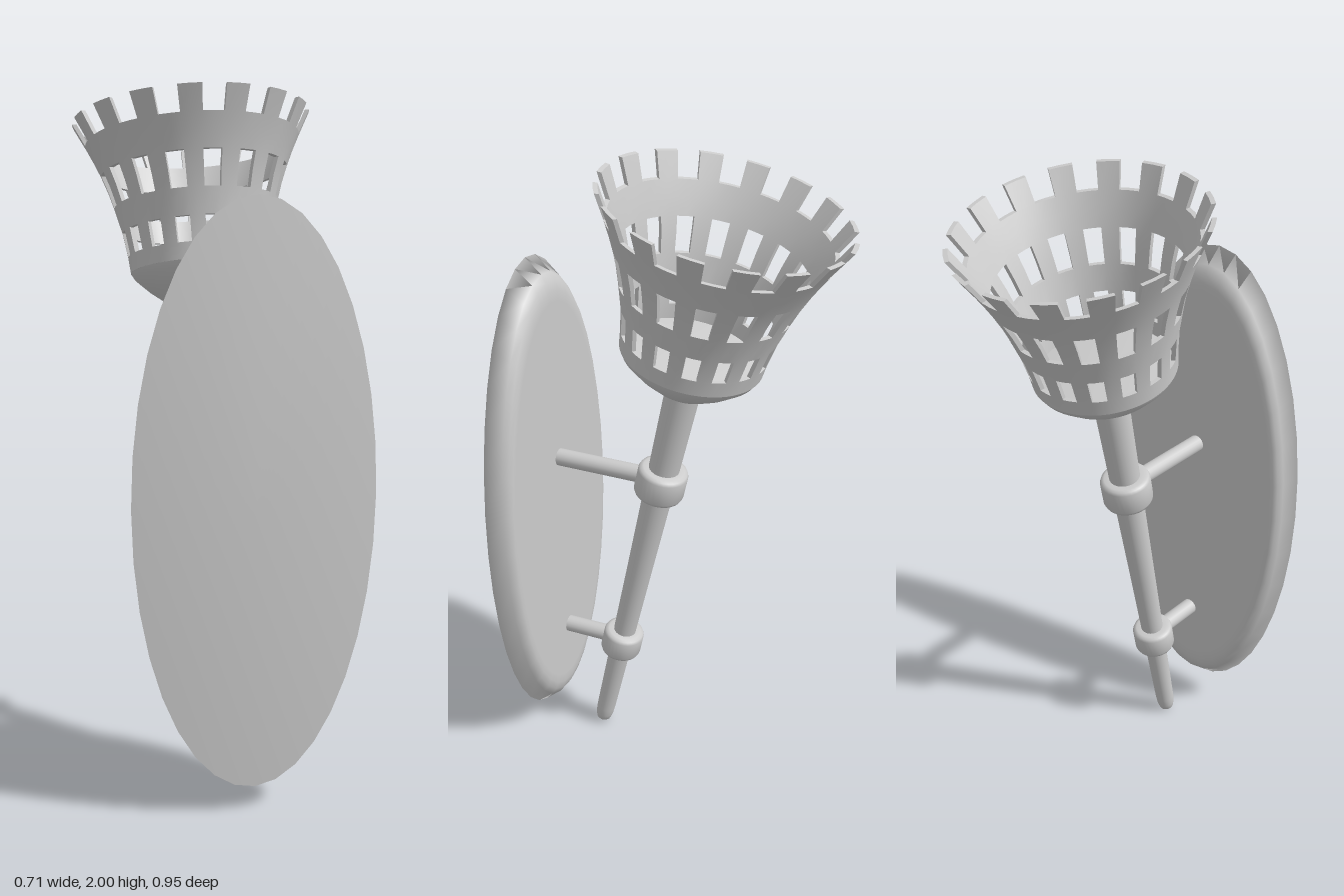
import * as THREE from 'three';
import { toCreasedNormals } from 'three/addons/utils/BufferGeometryUtils.js';

const material = new THREE.MeshStandardMaterial({ color: 0xcccccc });
const openMaterial = new THREE.MeshStandardMaterial({ color: 0xcccccc, side: THREE.DoubleSide });

function addMesh(parent, name, geometry, mat = material) {
  const mesh = new THREE.Mesh(geometry, mat);
  mesh.name = name;
  parent.add(mesh);
  return mesh;
}

function lathe(points, segments = 32) {
  return new THREE.LatheGeometry(points.map(([r, y]) => new THREE.Vector2(r, y)), segments);
}

// Flared, pierced wall: a polar grid of cells, with every other column
// left open in the window rows and in the top row.
function basketWall() {
  const rows = [ // height, radius, pierced above this level
    [1.515, 0.207, false], [1.563, 0.212, true], [1.635, 0.224, false],
    [1.71, 0.244, true], [1.76, 0.259, true], [1.808, 0.277, false],
    [1.85, 0.295, false], [1.9, 0.319, true], [1.967, 0.354, false],
  ];
  const split = 2, columns = 32 * split, thickness = 0.013;
  const last = rows.length - 1;
  const solid = (c, r) => {
    if (r < 0 || r >= last) return false;
    const column = Math.floor(((c + columns) % columns) / split);
    return !(rows[r][2] && column % 2 === 1);
  };
  const point = (c, r, inner) => {
    const a = ((c % columns) / columns) * Math.PI * 2;
    const radius = rows[r][1] - (inner ? thickness : 0);
    return [radius * Math.sin(a), rows[r][0], radius * Math.cos(a)];
  };
  const positions = [];
  const quad = (a, b, c, d) => positions.push(...a, ...b, ...c, ...a, ...c, ...d);

  for (let c = 0; c < columns; c++) {
    for (let r = 0; r < last; r++) {
      if (!solid(c, r)) continue;
      const [a, b, d, e] = [[c, r], [c + 1, r], [c + 1, r + 1], [c, r + 1]];
      const o = (p) => point(p[0], p[1], false);
      const i = (p) => point(p[0], p[1], true);
      quad(o(a), o(b), o(d), o(e));
      quad(i(b), i(a), i(e), i(d));
      // Thickness faces along open edges
      if (!solid(c, r - 1)) quad(i(a), i(b), o(b), o(a));
      if (!solid(c, r + 1)) quad(o(e), o(d), i(d), i(e));
      if (!solid(c - 1, r)) quad(i(a), o(a), o(e), i(e));
      if (!solid(c + 1, r)) quad(o(b), i(b), i(d), o(d));
    }
  }
  const geometry = new THREE.BufferGeometry();
  geometry.setAttribute('position', new THREE.Float32BufferAttribute(positions, 3));
  return toCreasedNormals(geometry, 0.7);
}

// Rounded band that grips the shaft
function collar(inner, outer, height) {
  const h = height / 2, b = 0.014;
  return toCreasedNormals(lathe([
    [inner, -h], [outer - b, -h], [outer - b * 0.3, -h + b * 0.3], [outer, -h + b],
    [outer, h - b], [outer - b * 0.3, h - b * 0.3], [outer - b, h], [inner, h], [inner, -h],
  ]), 0.9);
}

export function createModel() {
  const model = new THREE.Group();
  model.name = 'wallTorch';

  // Oval wall plate with a rounded back edge
  const plate = lathe([
    [0, 0.405], [0.84, 0.405], [0.88, 0.406], [0.915, 0.413],
    [0.945, 0.428], [1, 0.477], [0, 0.477],
  ], 36);
  plate.rotateX(Math.PI / 2);
  plate.scale(0.348, 0.81, 1);
  addMesh(model, 'wallPlate', plate).position.y = 0.883;

  // Leaning torch
  const torch = new THREE.Group();
  torch.name = 'torch';
  torch.position.z = 0.295;
  torch.rotation.x = -THREE.MathUtils.degToRad(12.5);
  model.add(torch);

  // Tapered shaft with a rounded tip
  addMesh(torch, 'shaft', lathe([
    [0, 0.002], [0.014, 0.006], [0.024, 0.018], [0.029, 0.04], [0.031, 0.07],
    [0.04, 0.7], [0.052, 1.41],
  ], 24));

  // Bowl below the basket, closed by a floor
  addMesh(torch, 'bowl', toCreasedNormals(lathe([
    [0, 1.39], [0.05, 1.393], [0.1, 1.418], [0.155, 1.459], [0.197, 1.498],
    [0.207, 1.516], [0.194, 1.518], [0, 1.518],
  ], 64), 0.8));
  addMesh(torch, 'basket', basketWall(), openMaterial);

  // Two brackets: a collar on the shaft and an arm to the plate
  [
    { t: 1.065, y: 1.05, inner: 0.045, outer: 0.077, height: 0.098, start: 0.1 },
    { t: 0.394, y: 0.395, inner: 0.034, outer: 0.066, height: 0.092, start: 0.25 },
  ].forEach(({ t, y, inner, outer, height, start }) => {
    addMesh(torch, 'collar', collar(inner, outer, height)).position.y = t;
    const length = 0.42 - start;
    const arm = new THREE.CylinderGeometry(0.027, 0.027, length, 20);
    arm.rotateX(Math.PI / 2);
    addMesh(model, 'bracketArm', arm).position.set(0, y, start + length / 2);
  });

  return model;
}
